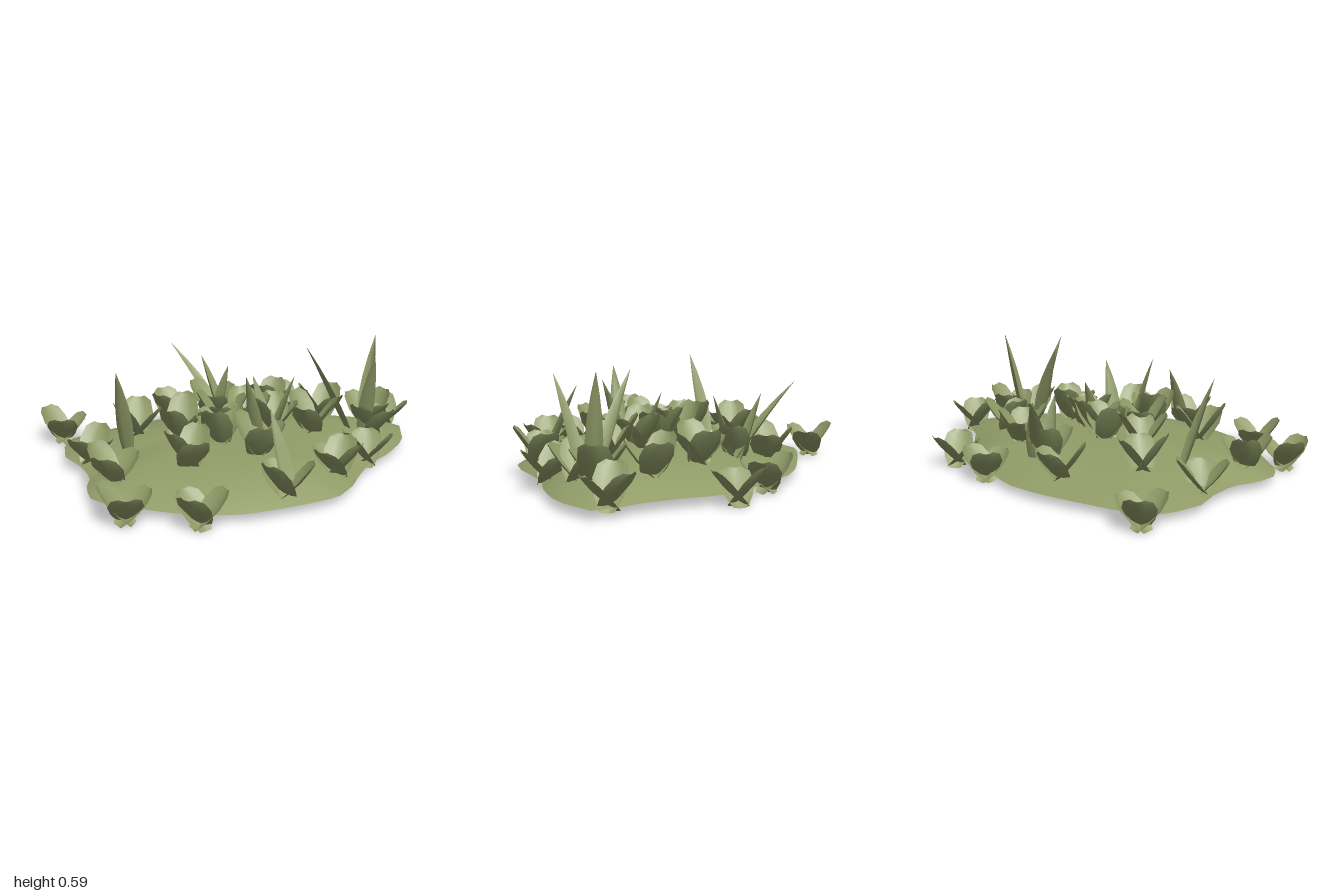
import * as THREE from 'three';
import { mergeVertices } from 'three/addons/utils/BufferGeometryUtils.js';

const olive = new THREE.MeshStandardMaterial({ color: 0x919c68, side: THREE.DoubleSide });
olive.name = 'olive green';

// Surface from a rule f(row, col) -> [x, y, z]
function grid(rows, cols, f) {
  const pos = [], idx = [], w = cols + 1;
  for (let i = 0; i <= rows; i++) for (let j = 0; j <= cols; j++) pos.push(...f(i, j));
  for (let i = 0; i < rows; i++) for (let j = 0; j < cols; j++) {
    const a = i * w + j, b = a + w;
    idx.push(a, a + 1, b, a + 1, b + 1, b);
  }
  let g = new THREE.BufferGeometry();
  g.setAttribute('position', new THREE.Float32BufferAttribute(pos, 3));
  g.setIndex(idx);
  g = mergeVertices(g, 1e-5);
  g.computeVertexNormals();
  return g;
}

function mesh(name, geometry, parent) {
  const m = new THREE.Mesh(geometry, olive);
  m.name = name;
  parent.add(m);
  return m;
}

// Irregular outline of the patch, [x, z]
const CZ = 0.1;
const outline = [
  [0.78, 0.1], [0.8, 0.25], [0.85, 0.45], [0.96, 0.61], [0.72, 0.75], [0.5, 0.78], [0.3, 0.77],
  [0.15, 0.8], [0, 0.84], [-0.15, 0.85], [-0.3, 0.78], [-0.42, 0.71], [-0.56, 0.62], [-0.66, 0.5],
  [-0.74, 0.35], [-0.79, 0.2], [-0.84, 0.07], [-0.83, -0.05], [-0.75, -0.15], [-0.64, -0.22],
  [-0.56, -0.36], [-0.51, -0.51], [-0.38, -0.64], [-0.28, -0.67], [-0.17, -0.65], [0, -0.59],
  [0.16, -0.53], [0.3, -0.47], [0.43, -0.39], [0.53, -0.28], [0.65, -0.15], [0.75, -0.03],
];

// Distance from the middle to the outline in a given direction
function rimRadius(angle) {
  const dx = Math.cos(angle), dz = Math.sin(angle);
  for (let i = 0; i < outline.length; i++) {
    const [ax, az] = outline[i], [bx, bz] = outline[(i + 1) % outline.length];
    const p = ax * dz - (az - CZ) * dx, q = bx * dz - (bz - CZ) * dx;
    if (p * q > 0 || p === q) continue;
    const k = p / (p - q);
    const r = (ax + (bx - ax) * k) * dx + (az + (bz - az) * k - CZ) * dz;
    if (r > 0) return r;
  }
  return 0.8;
}

// Mound profile: gentle at the back, steeper towards the other rims
function domeHeight(t, angle) {
  const power = 3.3 + 1.3 * Math.sin(angle);
  return 0.055 + 0.12 * Math.max(0, 1 - Math.pow(t, power));
}
function groundAt(x, z) {
  const angle = Math.atan2(z - CZ, x);
  return domeHeight(Math.hypot(x, z - CZ) / rimRadius(angle), angle);
}

// Broad cupped leaf; its base crosses the clump's axis and it rises along +x
const leafWidth = [0.033, 0.062, 0.08, 0.066, 0.033];
const leafAlong = [0, 0.28, 0.62, 0.88, 1];
const leafGeometry = grid(4, 4, (i, j) => {
  const s = j / 2 - 1, t = leafAlong[i], w = leafWidth[i];
  const cup = 0.3 * w * s * s;
  return [-0.033 + 0.187 * t - 0.027 * t * t - cup * 0.7, 0.13 * t + 0.03 * t * t + cup * 0.7, s * w];
});

// Clumps: x, z, then leaf directions in degrees (0 = +x, 90 = +z)
const clumps = [
  [-0.27, -0.75, 270, 140, 30], [-0.5, -0.35, 345, 170, 80], [-0.21, -0.29, 195, 325, 70],
  [0.18, -0.36, 180, 295, 20], [0.59, -0.23, 250, 30, 125], [0.81, -0.03, 310, 85, 185],
  [-0.69, -0.03, 270, 165, 20], [-0.17, -0.04, 335, 170, 75], [0.03, 0.07, 240, 45, 150],
  [0.28, -0.17, 265, 25, 140], [0.47, 0.06, 165, 350, 80, 260], [0.62, 0.31, 225, 355, 110],
  [-0.88, 0.2, 250, 135, 20], [-0.72, 0.49, 170, 30, 285], [-0.44, 0.22, 190, 345, 125],
  [-0.16, 0.42, 265, 135, 40], [-0.14, 0.18, 160, 10, 270], [0.16, 0.29, 200, 330, 60, 265],
  [0.1, 0.17, 310, 35, 160], [0.29, 0.44, 280, 65, 170], [-0.33, 0.68, 190, 60, 280],
  [0.01, 0.75, 95, 345, 190, 270], [0.32, 0.74, 215, 80, 330], [0.56, 0.64, 190, 110, 320],
  [0.66, 0.56, 20, 280, 110], [0.88, 0.55, 200, 325, 75],
];

// Blades: base x, z and tip x, y, z
const blades = [
  [0.58, 0.57, 0.7, 0.6, 0.57], [0.52, 0.56, 0.36, 0.575, 0.36], [0.54, 0.6, 0.41, 0.57, 0.72],
  [-0.37, -0.21, -0.53, 0.56, -0.14], [0.33, -0.12, 0.295, 0.49, -0.46],
  [-0.03, 0.34, -0.17, 0.54, 0.35], [0.02, 0.33, 0.1, 0.5, 0.45], [0.12, 0.3, 0.16, 0.44, 0.17],
  [-0.31, 0.7, -0.24, 0.44, 0.53], [0.36, -0.14, 0.33, 0.44, -0.28], [0.3, -0.17, 0.27, 0.43, -0.06],
];

// Folded tapering blade, widest below the middle
const bladeWidth = [0.022, 0.037, 0.041, 0.034, 0.02, 0.001];
function bladeGeometry([bx, bz, tx, ty, tz]) {
  const y0 = groundAt(bx, bz) - 0.05;
  const base = new THREE.Vector3(bx, y0, bz), tip = new THREE.Vector3(tx, ty, tz);
  const mid = new THREE.Vector3(bx * 0.65 + tx * 0.35, y0 + (ty - y0) * 0.5, bz * 0.65 + tz * 0.35);
  const curve = new THREE.QuadraticBezierCurve3(base, mid, tip);
  const lean = new THREE.Vector3(tx - bx, 0, tz - bz).normalize();
  const across = new THREE.Vector3(-lean.z, 0, lean.x);
  return grid(5, 2, (i, j) => curve.getPoint(i / 5)
    .addScaledVector(across, (j - 1) * bladeWidth[i])
    .addScaledVector(lean, j === 1 ? bladeWidth[i] * 0.8 : 0).toArray());
}

export function createModel() {
  const model = new THREE.Group();
  model.name = 'groundCoverPatch';

  // Low open mound
  const N = 72, R = 12;
  mesh('mound', grid(R, N, (i, j) => {
    const a = ((j % N) / N) * Math.PI * 2, t = i / R, r = t * rimRadius(a);
    return [r * Math.cos(a), domeHeight(t, a), CZ + r * Math.sin(a)];
  }), model);

  // Leafy clumps, taller towards the middle
  clumps.forEach(([x, z, ...angles]) => {
    const ground = groundAt(x, z);
    const clump = new THREE.Group();
    clump.name = 'leafClump';
    clump.position.set(x, Math.max(0, ground - 0.045), z);
    angles.forEach((deg, k) => {
      const leaf = mesh('leaf', leafGeometry, clump);
      leaf.rotation.y = -THREE.MathUtils.degToRad(deg);
      leaf.scale.y = (1.12 - 0.1 * k) * (1 + 2.5 * (ground - 0.055));
    });
    model.add(clump);
  });

  // Tall grass blades
  blades.forEach((b) => mesh('grassBlade', bladeGeometry(b), model));
  return model;
}
